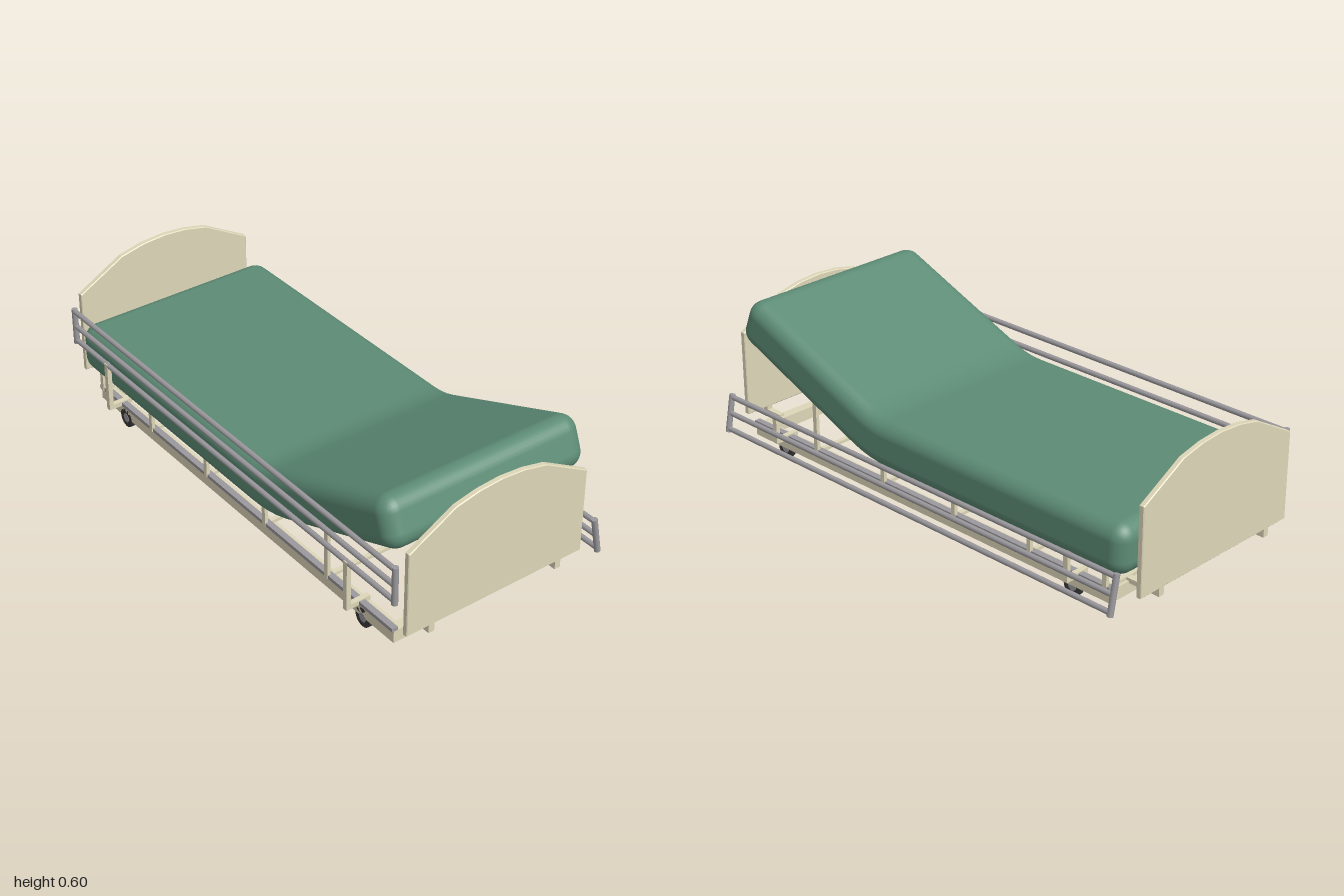
import * as THREE from 'three';

const mat = (color) => new THREE.MeshStandardMaterial({ color });
const cream = mat(0xddd6b8), green = mat(0x5d8c76), steel = mat(0x9b999d), rubber = mat(0x3a3a3c);
const CX = -0.02; // centre line of the bed

function add(parent, name, geometry, material, x = 0, y = 0, z = 0) {
  const mesh = new THREE.Mesh(geometry, material);
  mesh.name = name;
  mesh.position.set(x, y, z);
  parent.add(mesh);
  return mesh;
}

// Box given by its limits on each axis
function box(parent, name, [x0, x1], [y0, y1], [z0, z1], material = cream) {
  return add(parent, name, new THREE.BoxGeometry(x1 - x0, y1 - y0, z1 - z0), material,
    (x0 + x1) / 2, (y0 + y1) / 2, (z0 + z1) / 2);
}

// Rounded slab whose head end is bent upward about a crease
function mattressGeometry() {
  const half = [0.4175, 0.096, 0.965], r = 0.06, k = 4, mid = [1, 1, 48];
  const crease = 0.25, flatEnd = -0.947, midY = 0.256, angle = 0.384, ramp = 0.08;
  const geo = new THREE.BoxGeometry(2, 2, 2, 2 * k + mid[0], 2 * k + mid[1], 2 * k + mid[2]);
  const pos = geo.attributes.position, nor = geo.attributes.normal;

  // Pack the grid lines into the rounded edges
  const spread = (v, a) => {
    const n = 2 * k + mid[a], i = Math.round((v + 1) / 2 * n), inner = half[a] - r;
    if (i < k) return -inner - r * Math.tan((1 - i / k) * Math.PI / 4);
    if (i > n - k) return inner + r * Math.tan((1 - (n - i) / k) * Math.PI / 4);
    return -inner + 2 * inner * (i - k) / mid[a];
  };
  // Centre line: angle grows linearly across the crease
  const bend = (s) => {
    if (s <= -ramp) return [s, 0, 0];
    const steps = 24, e = s + ramp;
    let z = -ramp, y = 0;
    for (let i = 0; i < steps; i++) {
      const t = angle * Math.min(1, e * (i + 0.5) / steps / (2 * ramp));
      z += Math.cos(t) * e / steps;
      y += Math.sin(t) * e / steps;
    }
    return [z, y, angle * Math.min(1, e / (2 * ramp))];
  };
  for (let i = 0; i < pos.count; i++) {
    const c = [pos.getX(i), pos.getY(i), pos.getZ(i)].map(spread);
    const inner = c.map((v, a) => THREE.MathUtils.clamp(v, r - half[a], half[a] - r));
    const d = new THREE.Vector3(...c.map((v, a) => v - inner[a])).normalize();
    const y = inner[1] + d.y * r, s = inner[2] + d.z * r + half[2] + flatEnd - crease;
    const [bz, by, t] = bend(s), cos = Math.cos(t), sin = Math.sin(t);
    pos.setXYZ(i, inner[0] + d.x * r, midY + by + y * cos, crease + bz - y * sin);
    nor.setXYZ(i, d.x, d.y * cos + d.z * sin, d.z * cos - d.y * sin);
  }
  return geo;
}

// End board with an arched top
function boardGeometry() {
  const s = new THREE.Shape();
  s.moveTo(-0.377, 0.113);
  s.lineTo(0.377, 0.113);
  [[0.377, 0.444], [0.19, 0.547], [0.095, 0.568], [0, 0.575],
    [-0.095, 0.568], [-0.19, 0.547], [-0.377, 0.444]].forEach(([x, y]) => s.lineTo(x, y));
  const geo = new THREE.ExtrudeGeometry(s, {
    depth: 0.016, bevelEnabled: true, bevelThickness: 0.003, bevelSize: 0.003, bevelSegments: 1,
  });
  return geo.translate(0, 0, -0.008);
}

// Three long bars between two upright end bars
function sideRail(name, x, y, tilt) {
  const rail = new THREE.Group();
  rail.name = name;
  const z0 = -0.957, z1 = 0.997, mid = (z0 + z1) / 2;
  for (const h of [-0.062, 0, 0.064]) {
    const bar = add(rail, 'railBar', new THREE.CylinderGeometry(0.01, 0.01, z1 - z0 - 0.01, 12), steel, 0, h, mid);
    bar.rotation.x = Math.PI / 2;
  }
  for (const z of [z0 + 0.011, z1 - 0.011])
    add(rail, 'railEnd', new THREE.CylinderGeometry(0.0115, 0.0115, 0.15, 12), steel, 0, 0, z);
  rail.position.set(x, y, 0);
  rail.rotation.z = tilt;
  return rail;
}

export function createModel() {
  const bed = new THREE.Group();
  bed.name = 'adjustableBed';

  add(bed, 'mattress', mattressGeometry(), green, CX);

  // End boards and the brackets that hold them
  for (const [name, z] of [['headBoard', 0.98], ['footBoard', -0.988]]) {
    add(bed, name, boardGeometry(), cream, CX, 0, z);
    const s = Math.sign(z), inner = s > 0 ? 0.9 : -0.85;
    for (const x of [-0.296, 0.256]) {
      const span = [Math.min(inner, z), Math.max(inner, z)];
      box(bed, 'boardBracket', [x - 0.012, x + 0.012], [0.08, 0.098], span);
      box(bed, 'bracketTab', [x - 0.012, x + 0.012], [0.08, 0.117], [z - 0.01, z + 0.011]);
    }
  }

  // Base frame
  for (const x of [-0.4, 0.32]) box(bed, 'frameSide', [x, x + 0.04], [0.04, 0.088], [-0.87, 0.925]);
  for (const z of [-0.87, 0.885]) box(bed, 'frameEnd', [-0.4, 0.36], [0.04, 0.088], [z, z + 0.04]);
  for (const s of [-1, 1]) {
    const x = CX + s * 0.375;
    box(bed, 'deckRail', [x - 0.012, x + 0.012], [0.088, 0.102], [-0.87, 0.925], steel);
  }

  // Upright supports joined by cross bars
  for (const [z, top] of [[0.57, 0.29], [0.21, 0.17], [-0.15, 0.165], [-0.51, 0.165], [-0.85, 0.165]]) {
    for (const s of [-1, 1]) {
      const x = CX + s * 0.383;
      box(bed, 'support', [x - 0.007, x + 0.007], [0.088, top], [z - 0.009, z + 0.009]);
    }
    box(bed, 'deckBar', [CX - 0.39, CX + 0.39], [top - 0.016, top], [z - 0.009, z + 0.009]);
    box(bed, 'crossBar', [CX - 0.39, CX + 0.39], [0.088, 0.1], [z - 0.009, z + 0.009]);
  }
  for (const s of [-1, 1]) {
    const x = CX + s * 0.37;
    box(bed, 'deckSide', [x - 0.008, x + 0.008], [0.153, 0.165], [-0.85, 0.21]);
  }

  // Casters
  for (const x of [-0.391, 0.349]) for (const z of [0.76, -0.7]) {
    const wheel = add(bed, 'wheel', new THREE.CylinderGeometry(0.038, 0.038, 0.018, 20), rubber, x, 0.038, z);
    wheel.rotation.z = Math.PI / 2;
    const hub = add(bed, 'wheelHub', new THREE.CylinderGeometry(0.018, 0.018, 0.02, 16), steel, x, 0.038, z);
    hub.rotation.z = Math.PI / 2;
  }

  // Side rails: raised on the right, lowered on the left
  bed.add(sideRail('raisedRail', -0.45, 0.345, 0));
  bed.add(sideRail('loweredRail', 0.434, 0.136, 0.19));
  for (const z of [0.74, -0.725]) {
    const span = [z - 0.01, z + 0.01];
    box(bed, 'raisedRailPost', [-0.46, -0.442], [0.09, 0.29], span);
    box(bed, 'raisedRailArm', [-0.46, -0.36], [0.088, 0.107], span);
    box(bed, 'loweredRailPost', [0.406, 0.422], [0.09, 0.2], span);
    box(bed, 'loweredRailArm', [0.32, 0.422], [0.088, 0.107], span);
  }
  return bed;
}
